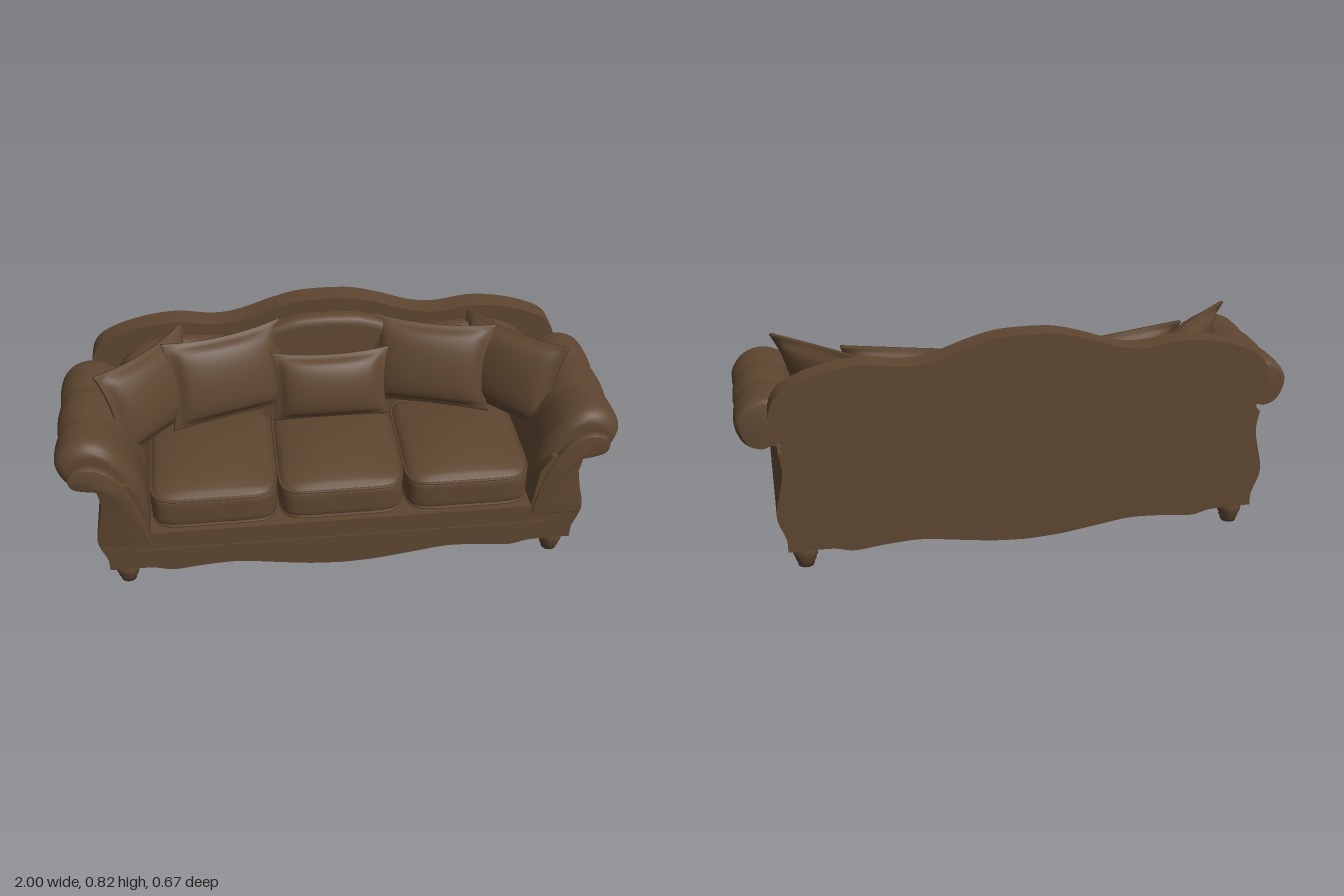
import * as THREE from 'three';
import { mergeVertices, toCreasedNormals } from 'three/addons/utils/BufferGeometryUtils.js';

const fabric = new THREE.MeshStandardMaterial({ color: 0x5e4630 });
fabric.name = 'brown leather';

const vec = ([x, y]) => new THREE.Vector2(x, y);
const spline = (pts, n = 40) => new THREE.SplineCurve(pts.map(vec)).getPoints(n);
const flip = (pts) => pts.map((p) => new THREE.Vector2(-p.x, p.y)).reverse();

function add(parent, name, geometry) {
  const mesh = new THREE.Mesh(geometry, fabric);
  mesh.name = name;
  parent.add(mesh);
  return mesh;
}

// Outline in x/y pushed from z0 to z1, with an optional rounded rim
function slab(points, z0, z1, bevel = 0) {
  const geo = new THREE.ExtrudeGeometry(new THREE.Shape(points), {
    depth: z1 - z0 - 2 * bevel, bevelEnabled: bevel > 0, bevelSize: bevel,
    bevelThickness: bevel, bevelOffset: -bevel, bevelSegments: 4,
  });
  geo.translate(0, 0, z0 + bevel);
  return toCreasedNormals(geo, 0.6);
}

// Subdivided unit block (-1..1) reshaped by a rule, smooth all over
function sculpt(sx, sy, sz, rule) {
  let geo = new THREE.BoxGeometry(2, 2, 2, sx, sy, sz);
  geo.deleteAttribute('uv');
  geo.deleteAttribute('normal');
  geo = mergeVertices(geo);
  const pos = geo.attributes.position;
  for (let i = 0; i < pos.count; i++) {
    pos.setXYZ(i, ...rule(pos.getX(i), pos.getY(i), pos.getZ(i)));
  }
  geo.computeVertexNormals();
  return geo;
}

// Boxy seat cushion with a domed top
function cushionGeometry(w, h, d) {
  return sculpt(24, 10, 24, (u, v, t) => {
    const k = Math.pow(Math.abs(u) ** 7 + Math.abs(v) ** 7 + Math.abs(t) ** 7, -1 / 7);
    const x = u * k, y = v * k, z = t * k;
    const dome = y > 0 ? 0.035 * (1 - x * x) * (1 - z * z) * y : 0;
    return [x * w / 2, y * h / 2 + dome, z * d / 2];
  });
}

// Throw pillow: pulled-out corners, a thin flange and a plump middle
function pillowGeometry(w, h, t) {
  return sculpt(30, 30, 2, (u, v, s) => {
    const a = Math.min(1, Math.abs(u) / 0.88), b = Math.min(1, Math.abs(v) / 0.88);
    const plump = Math.pow((1 - a * a) * (1 - b * b), 0.42);
    return [
      u * w / 2 * (1 - 0.09 * (1 - v * v) * u * u),
      v * h / 2 * (1 - 0.09 * (1 - u * u) * v * v),
      s * (0.006 + plump * t / 2) - 0.02 * u * u * v * v + 0.02,
    ];
  });
}

// Padded arm: one scroll section lofted along z with three soft lumps
function armGeometry(side) {
  const section = spline([[0.69, 0.22], [0.695, 0.36], [0.725, 0.48], [0.79, 0.585], [0.87, 0.627],
    [0.95, 0.608], [0.998, 0.54], [0.975, 0.465], [0.92, 0.44], [0.86, 0.445], [0.82, 0.34], [0.8, 0.22]], 48);
  const rings = 48, n = section.length, z0 = -0.25, z1 = 0.312;
  const pos = [], index = [];
  for (let r = 0; r <= rings; r++) {
    const q = r / rings, z = z0 + (z1 - z0) * (1 - Math.cos(q * Math.PI)) / 2;
    const lump = 0.93 + 0.07 * Math.sqrt(Math.abs(Math.sin((z - z0) / (z1 - z0) * Math.PI * 3)) + 0.02);
    const front = Math.max(0, (z - 0.25) / (z1 - 0.25)), rear = Math.max(0, (-0.22 - z) / 0.03);
    const s = Math.min(1, lump) * (1 - 0.35 * (1 - Math.sqrt(1 - Math.min(1, front * front))))
      * (1 - 0.08 * rear * rear);
    for (const p of section) {
      const y = p.y > 0.5 ? 0.5 + (p.y - 0.5) * s : 0.5 + (p.y - 0.5) * (0.6 + 0.4 * s);
      pos.push(side * (0.86 + (p.x - 0.86) * s), y, z);
    }
  }
  const face = (a, b, c) => (side > 0 ? index.push(a, b, c) : index.push(a, c, b));
  for (let r = 0; r < rings; r++) {
    for (let j = 0; j < n; j++) {
      const a = r * n + j, b = r * n + (j + 1) % n;
      face(a, a + n, b);
      face(b, a + n, b + n);
    }
  }
  // end caps
  const ends = THREE.ShapeUtils.triangulateShape(section, []);
  for (const [a, b, c] of ends) {
    const [p, q, t] = [section[a], section[b], section[c]];
    const ccw = (q.x - p.x) * (t.y - p.y) - (q.y - p.y) * (t.x - p.x) > 0;
    const [m, k] = ccw ? [b, c] : [c, b];
    const o = rings * n;
    face(o + a, o + m, o + k);
    face(a, k, m);
  }
  const geo = new THREE.BufferGeometry();
  geo.setAttribute('position', new THREE.Float32BufferAttribute(pos, 3));
  geo.setIndex(index);
  geo.computeVertexNormals();
  return toCreasedNormals(geo, 0.9);
}

export function createModel() {
  const sofa = new THREE.Group();
  sofa.name = 'sofa';

  // Base with a scalloped skirt and waisted sides
  const skirt = spline([[0, 0.035], [0.12, 0.042], [0.25, 0.06], [0.38, 0.078], [0.5, 0.074],
    [0.62, 0.062], [0.7, 0.078], [0.85, 0.08]]);
  const flank = spline([[0.85, 0.08], [0.852, 0.13], [0.877, 0.2], [0.878, 0.25], [0.862, 0.32],
    [0.85, 0.39], [0.86, 0.46]], 24);
  const half = [...skirt, ...flank.slice(1), ...[[0.75, 0.46], [0.71, 0.4], [0.69, 0.24]].map(vec)];
  add(sofa, 'base', slab([...half, ...flip(half).slice(0, -1)], -0.335, 0.33));

  // Rail mouldings under the seat
  add(sofa, 'railMoulding', new THREE.BoxGeometry(1.5, 0.008, 0.012)).position.set(0, 0.162, 0.328);
  add(sofa, 'seatRail', new THREE.BoxGeometry(1.38, 0.03, 0.02)).position.set(0, 0.228, 0.324);

  // Camel back with rounded shoulders
  const crest = spline([[0, 0.82], [0.1, 0.815], [0.2, 0.79], [0.32, 0.75], [0.42, 0.738], [0.55, 0.755],
    [0.66, 0.745], [0.77, 0.715], [0.85, 0.67], [0.882, 0.6], [0.87, 0.53], [0.845, 0.49]], 60);
  const backHalf = [vec([0, 0.2]), vec([0.845, 0.2]), ...[...crest].reverse()];
  add(sofa, 'back', slab([...backHalf, ...flip(backHalf).slice(1, -1)], -0.335, -0.25));
  const padTop = spline([[0, 0.765], [0.12, 0.757], [0.24, 0.72], [0.36, 0.688], [0.55, 0.7],
    [0.68, 0.675], [0.77, 0.6], [0.78, 0.5]]);
  const padHalf = [vec([0, 0.22]), vec([0.72, 0.22]), ...[...padTop].reverse()];
  add(sofa, 'backPadding', slab([...padHalf, ...flip(padHalf).slice(1, -1)], -0.29, -0.2, 0.03));

  // Arms and their scrolled front panels
  const scroll = spline([[0.69, 0.2], [0.71, 0.3], [0.745, 0.41], [0.8, 0.505], [0.87, 0.545],
    [0.93, 0.535], [0.952, 0.5], [0.935, 0.462], [0.86, 0.445]], 36);
  const panel = [...scroll, ...[[0.85, 0.39], [0.862, 0.32], [0.876, 0.25], [0.874, 0.2]].map(vec)];
  for (const side of [1, -1]) {
    const label = side > 0 ? 'left' : 'right';
    add(sofa, label + 'Arm', armGeometry(side));
    add(sofa, label + 'ArmPanel', slab(side > 0 ? panel : flip(panel), 0.29, 0.335, 0.005));
  }

  // Turned bun feet
  const footProfile = [[0, 0], [0.028, 0], [0.032, 0.018], [0.036, 0.022], [0.036, 0.028], [0.043, 0.045],
    [0.045, 0.06], [0.042, 0.075], [0.036, 0.1]].map(vec);
  for (const x of [-0.79, 0.79]) {
    for (const z of [-0.282, 0.282]) {
      add(sofa, 'foot', new THREE.LatheGeometry(footProfile, 24)).position.set(x, 0, z);
    }
  }

  // Seat cushions with piping
  const w = 0.455, d = 0.53;
  for (const x of [-0.458, 0, 0.458]) {
    const seat = new THREE.Group();
    seat.name = 'seatCushion';
    seat.position.set(x, 0.315, 0.06);
    add(seat, 'cushion', cushionGeometry(w, 0.15, d));
    const path = [];
    for (let i = 0; i < 48; i++) {
      const a = i / 48 * Math.PI * 2, c = Math.cos(a), s = Math.sin(a);
      const k = Math.pow(Math.abs(c) ** 7 + Math.abs(s) ** 7, -1 / 7);
      path.push(new THREE.Vector3(c * k * (w / 2 - 0.004), 0, s * k * (d / 2 - 0.004)));
    }
    const loop = new THREE.CatmullRomCurve3(path, true);
    for (const y of [-0.056, 0.056]) {
      add(seat, 'piping', new THREE.TubeGeometry(loop, 96, 0.006, 6, true)).position.y = y;
    }
    sofa.add(seat);
  }

  // Throw pillows fanned around the seat: name, width, height, x, y, z, yaw, lean
  const pillows = [
    ['centrePillow', 0.44, 0.27, 0, 0.533, -0.115, 0, -0.22],
    ['innerPillow', 0.46, 0.34, 0.385, 0.582, -0.145, -0.3, -0.25],
    ['outerPillow', 0.45, 0.34, 0.665, 0.58, -0.07, -0.82, -0.25],
  ];
  for (const [name, pw, ph, x, y, z, yaw, lean] of pillows) {
    for (const side of x ? [1, -1] : [1]) {
      const pillow = add(sofa, name, pillowGeometry(pw, ph, 0.11));
      pillow.position.set(side * x, y, z);
      pillow.rotation.set(lean, side * yaw, 0, 'YXZ');
    }
  }
  return sofa;
}
